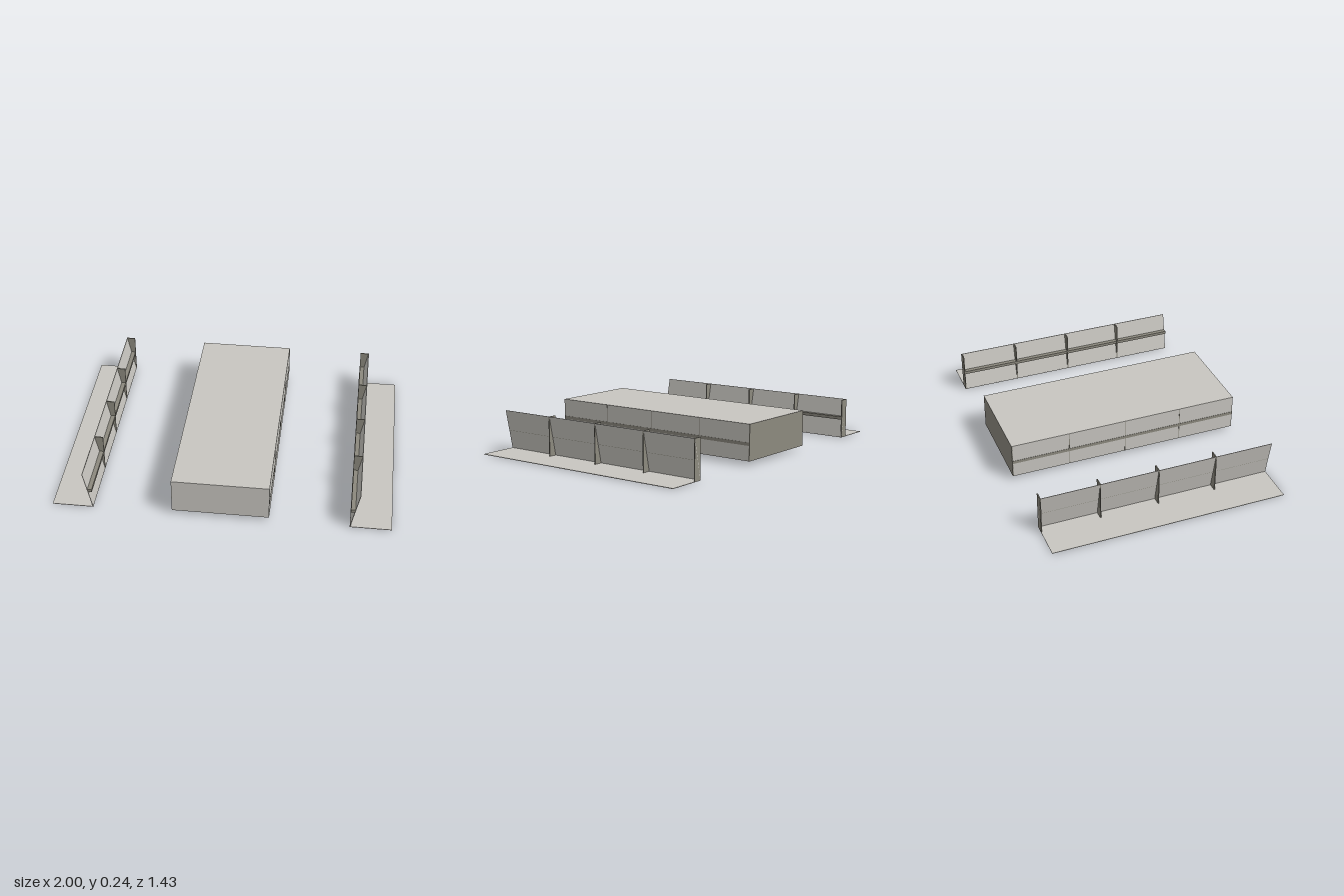
import * as THREE from 'three';

export function createModel() {
  const model = new THREE.Group();
  const mat = (name, color) => {
    const m = new THREE.MeshStandardMaterial({ color });
    m.name = name;
    return m;
  };
  const panel = mat('pale grey panel', 0xc8c6c0);
  const trim = mat('dark warm grey trim', 0x8c897e);
  const black = mat('near black', 0x1c1c1a);

  const HALF = 0.717, HEIGHT = 0.243;
  const ribZ = [0.358, 0, -0.358, -0.714]; // one at the rear of each bay
  const bayZ = [0.502, 0.144, -0.215, -0.573];

  // Box given by its lower and upper limits on each axis
  function box(parent, name, material, [x0, x1], [y0, y1], [z0, z1]) {
    const geo = new THREE.BoxGeometry(Math.abs(x1 - x0), y1 - y0, z1 - z0);
    const mesh = new THREE.Mesh(geo, material);
    mesh.position.set((x0 + x1) / 2, (y0 + y1) / 2, (z0 + z1) / 2);
    mesh.name = name;
    parent.add(mesh);
  }

  // Central block with a darker rear face
  const block = new THREE.Group();
  block.name = 'centralBlock';
  model.add(block);
  box(block, 'blockBody', [panel, panel, panel, panel, panel, trim],
    [-0.286, 0.286], [0.025, HEIGHT], [-HALF, HALF]);
  for (const s of [-1, 1]) {
    box(block, 'sideStripe', trim, [s * 0.285, s * 0.2875], [0.116, 0.135], [-HALF, HALF]);
    for (const z of ribZ) {
      box(block, 'sideSeam', trim, [s * 0.285, s * 0.2872], [0.026, HEIGHT - 0.001], [z - 0.002, z + 0.002]);
    }
  }
  // Underside seams and hooked handles
  for (const z of ribZ.slice(0, 3)) {
    box(block, 'underSeam', black, [-0.285, 0.285], [0.0242, 0.026], [z - 0.001, z + 0.001]);
  }
  for (const z of bayZ) {
    box(block, 'handleLine', black, [-0.12, 0.12], [0.0235, 0.026], [z - 0.002, z + 0.002]);
    for (const s of [-1, 1]) {
      box(block, 'handleHook', black, [s * 0.116, s * 0.12], [0.0235, 0.026], [z, z + 0.014]);
    }
  }

  // Floor strip with an outward leaning wall, ribs and rail, on each side
  for (const s of [-1, 1]) {
    const unit = new THREE.Group();
    unit.name = s > 0 ? 'leftWallUnit' : 'rightWallUnit';
    model.add(unit);
    box(unit, 'floorStrip', panel, [s * 0.756, s], [0.001, 0.004], [-HALF, HALF]);

    const profile = new THREE.Shape([
      [0.756, 0.002], [0.759, 0.002], [0.809, HEIGHT], [0.806, HEIGHT],
    ].map(([x, y]) => new THREE.Vector2(s * x, y)));
    const wall = new THREE.Mesh(
      new THREE.ExtrudeGeometry(profile, { depth: 2 * HALF, bevelEnabled: false }), panel);
    wall.position.z = -HALF;
    wall.name = 'leaningWall';
    unit.add(wall);

    box(unit, 'rail', trim, [s * 0.757, s * 0.783], [0.116, 0.135], [-HALF, HALF]);
    for (const z of ribZ) {
      box(unit, 'rib', trim, [s * 0.755, s * 0.809], [0.002, HEIGHT], [z - 0.003, z + 0.003]);
    }
    for (const z of ribZ.slice(0, 3)) {
      box(unit, 'floorSeam', black, [s * 0.81, s * 0.86], [0.0002, 0.002], [z - 0.0015, z + 0.0015]);
    }
    for (const z of bayZ) {
      box(unit, 'footPad', black, [s * 0.88, s * 0.93], [0, 0.002], [z - 0.028, z + 0.028]);
    }
  }
  return model;
}
